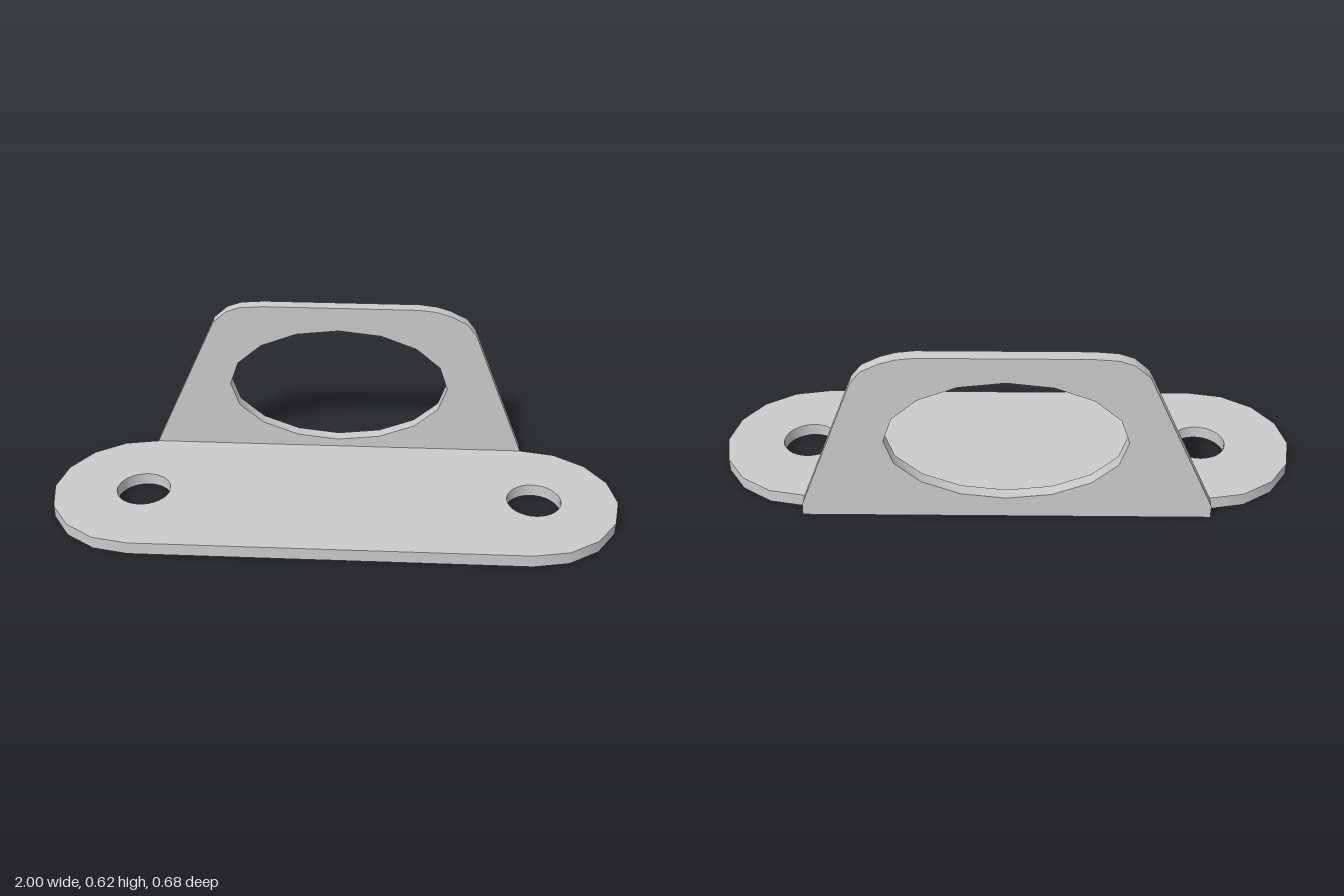
import * as THREE from 'three';
import { toCreasedNormals } from 'three/addons/utils/BufferGeometryUtils.js';

const T = 0.045; // sheet thickness

// Points along an elliptical arc
function arc(cx, cy, rx, ry, start, sweep, sides) {
  const pts = [];
  for (let i = 0; i <= sides; i++) {
    const a = start + (sweep * i) / sides;
    pts.push(new THREE.Vector2(cx + rx * Math.cos(a), cy + ry * Math.sin(a)));
  }
  return pts;
}

const hole = (cx, cy, rx, ry, sides) =>
  new THREE.Path(arc(cx, cy, rx, ry, 0, Math.PI * 2, sides).slice(0, -1));

// Flat sheet cut from an outline with holes
function sheet(outline, holes) {
  const shape = new THREE.Shape(outline);
  shape.holes.push(...holes);
  return new THREE.ExtrudeGeometry(shape, { depth: T, bevelEnabled: false });
}

export function createModel() {
  const group = new THREE.Group();
  const material = new THREE.MeshStandardMaterial({ color: 0xcccccc });
  const add = (name, geometry) => {
    const mesh = new THREE.Mesh(toCreasedNormals(geometry, 0.6), material);
    mesh.name = name;
    group.add(mesh);
  };

  // Base: rounded-end plate with two screw holes
  const cz = 0.0225;
  const r = 0.319;
  const base = sheet(
    [
      ...arc(0.68, -cz, 0.32, r, -Math.PI / 2, Math.PI, 8),
      ...arc(-0.68, -cz, 0.32, r, Math.PI / 2, Math.PI, 8),
    ],
    [-0.68, 0.705].map((x) => hole(x, -cz, 0.095, 0.095, 32)),
  );
  base.rotateX(-Math.PI / 2);
  add('basePlate', base);

  // Upright: tapered plate with softened top corners and an oval opening
  const outline = [
    [-0.683, 0], [0.683, 0], [0.68, 0.046],
    [0.49, 0.525], [0.455, 0.568], [0.395, 0.598], [0.345, 0.613], [0.285, 0.62],
    [-0.27, 0.62], [-0.35, 0.614], [-0.4, 0.597], [-0.45, 0.553], [-0.683, 0.046],
  ].map(([x, y]) => new THREE.Vector2(x, y));
  const upright = sheet(outline, [hole(0, 0.303, 0.397, 0.228, 16)]);
  upright.translate(0, 0, -0.3415);
  add('uprightPlate', upright);

  return group;
}
